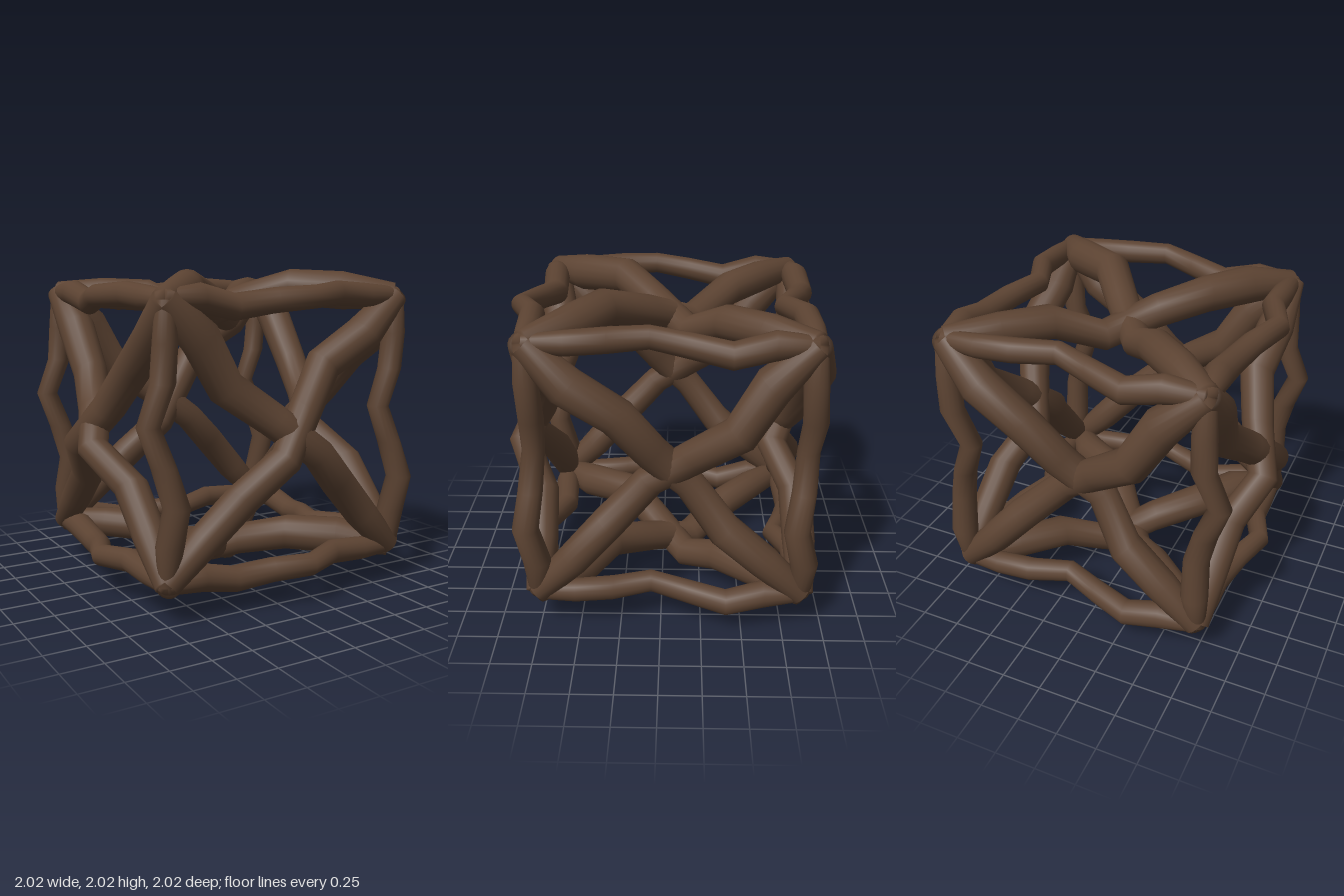
import * as THREE from 'three';
import { mergeVertices } from 'three/addons/utils/BufferGeometryUtils.js';

const HALF = 0.805;                                    // half the side of the cube
const CENTRE = new THREE.Vector3(0.053, 1.055, -0.055);

// Gnarled branch at eight even steps: sideways bend, outward bend, radius
const SIDE = [0, 0.005, -0.05, -0.015, 0.005, 0.02, 0.005, 0];
const OUT = [0, -0.02, -0.035, 0.025, 0.108, 0.01, 0, 0];
const RADIUS = [0.055, 0.085, 0.08, 0.075, 0.069, 0.075, 0.073, 0.055];
const STEPS = RADIUS.length - 1;

// Branch of unit-cube-edge length along local y, bent and thickened ring by ring
function branchGeometry() {
  const length = HALF * 2;
  const geo = new THREE.CylinderGeometry(1, 1, 1, 16, STEPS);
  const p = geo.attributes.position;
  for (let i = 0; i < p.count; i++) {
    const t = p.getY(i) + 0.5;
    const k = Math.round(t * STEPS);
    p.setXYZ(i, p.getX(i) * RADIUS[k] + SIDE[k], t * length, p.getZ(i) * RADIUS[k] - OUT[k]);
  }
  geo.deleteAttribute('normal');
  geo.deleteAttribute('uv');
  const merged = mergeVertices(geo, 1e-5);
  merged.computeVertexNormals();
  return merged;
}

export function createModel() {
  const model = new THREE.Group();
  model.name = 'branchCube';
  const bark = new THREE.MeshStandardMaterial({ color: 0x5c4332 });
  bark.name = 'bark brown';
  const geo = branchGeometry();

  // Lay one branch between two cube corners (signs), bending towards "out"
  function addBranch(name, from, to, out) {
    const a = new THREE.Vector3(...from).multiplyScalar(HALF).add(CENTRE);
    const b = new THREE.Vector3(...to).multiplyScalar(HALF).add(CENTRE);
    const along = b.clone().sub(a);
    const scale = along.length() / (HALF * 2);
    along.normalize();
    const n = new THREE.Vector3(...out);
    const side = n.clone().cross(along);
    const mesh = new THREE.Mesh(geo, bark);
    mesh.name = name;
    mesh.quaternion.setFromRotationMatrix(
      new THREE.Matrix4().makeBasis(side, along, n.clone().negate()));
    mesh.position.copy(a);
    mesh.scale.setScalar(scale);
    model.add(mesh);
  }

  const LEFT_BEND = [-1, 0, 0], FRONT_BEND = [0, 0, 1], DOWN_BEND = [0, -1, 0];
  for (const i of [-1, 1]) {
    for (const j of [-1, 1]) {
      // Twelve cube edges
      addBranch('crossEdge', [-1, i, j], [1, i, j], FRONT_BEND);
      addBranch('uprightEdge', [i, -1, j], [i, 1, j], LEFT_BEND);
      addBranch('depthEdge', [i, j, -1], [i, j, 1], LEFT_BEND);
      // Two crossing diagonals on each of the six faces
      addBranch('frontBackDiagonal', [j, 1, i], [-j, -1, i], FRONT_BEND);
      addBranch('sideDiagonal', [i, 1, j], [i, -1, -j], LEFT_BEND);
      addBranch('topBottomDiagonal', [j, i, 1], [-j, i, -1], DOWN_BEND);
    }
  }
  return model;
}
